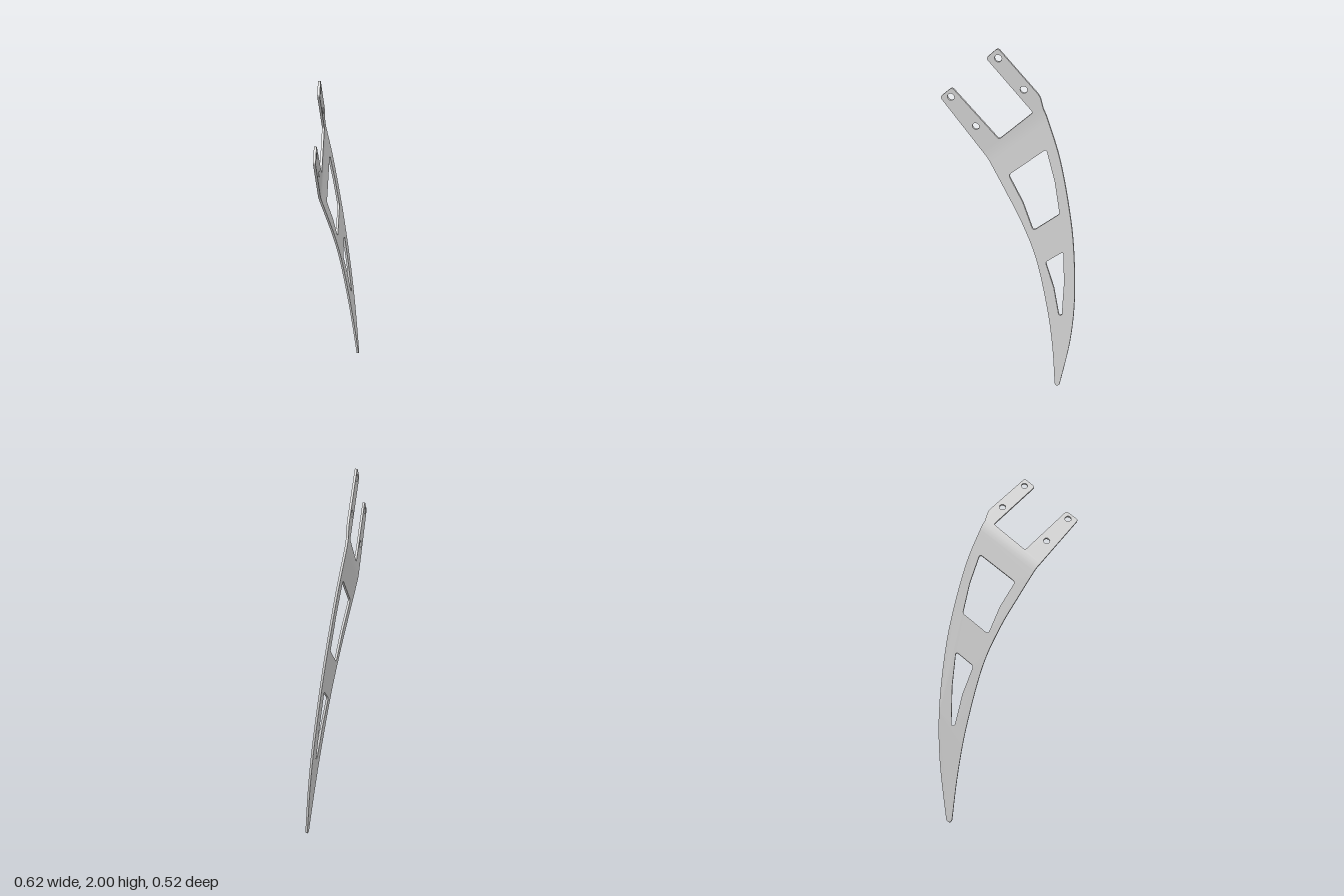
import * as THREE from 'three';
import { mergeGeometries, toCreasedNormals } from 'three/addons/utils/BufferGeometryUtils.js';

const THICKNESS = 0.012;
const BEND = 0.0063; // softness of the fold

// Lays a flat extrusion, drawn in x and y, onto two planes joined by a soft fold.
function plate(shape) {
  const geo = new THREE.ExtrudeGeometry(shape, { depth: 1, bevelEnabled: false, curveSegments: 6 });
  const pos = geo.attributes.position;
  const n = new THREE.Vector3();
  for (let i = 0; i < pos.count; i++) {
    const x = pos.getX(i), y = pos.getY(i);
    const forkZ = -0.111 - 1.19 * x;
    const s = 0.1327 - 0.982 * x - 0.1518 * y - forkZ;
    const k = THREE.MathUtils.clamp((s + BEND) / (2 * BEND), 0, 1);
    const z = forkZ + (k < 1 ? BEND * k * k : s);
    n.set(1.19 - 0.208 * k, 0.1518 * k, 1).normalize();
    n.multiplyScalar((pos.getZ(i) - 0.5) * THICKNESS);
    pos.setXYZ(i, x + n.x, y + n.y, z + n.z);
  }
  return geo;
}

// Closed polygon; each point is [x, y, corner radius].
function rounded(points, path) {
  const v = points.map(([x, y]) => new THREE.Vector2(x, y));
  const toward = (a, b, r) => a.clone().add(b.clone().sub(a).setLength(r));
  points.forEach(([x, y, r = 0], i) => {
    const prev = v[(i + v.length - 1) % v.length], next = v[(i + 1) % v.length];
    const a = r ? toward(v[i], prev, r) : v[i];
    if (i === 0) path.moveTo(a.x, a.y);
    else path.lineTo(a.x, a.y);
    if (r) {
      const b = toward(v[i], next, r);
      path.quadraticCurveTo(x, y, b.x, b.y);
    }
  });
  path.closePath();
  return path;
}

const vecs = (list) => list.map(([x, y]) => new THREE.Vector2(x, y));

// Ends of the fold strip on the two long edges
const L0 = [-0.165, 1.42], L1 = [-0.14, 1.373];
const R0 = [0.04, 1.7], R1 = [0.059, 1.645];

export function createModel() {
  const group = new THREE.Group();
  const material = new THREE.MeshStandardMaterial({ color: 0xcccccc });
  const add = (name, geo) => {
    const mesh = new THREE.Mesh(toCreasedNormals(geo, 0.5), material);
    mesh.name = name;
    group.add(mesh);
  };

  // Two-pronged mounting fork with four bolt holes
  const fork = rounded([
    L0, R0, [0.028, 1.77, 0.02], [-0.111, 2.004, 0.014], [-0.15, 1.948, 0.012],
    [0.006, 1.678, 0.012], [-0.11, 1.508, 0.012], [-0.268, 1.777, 0.014],
    [-0.311, 1.718, 0.012], [-0.236, 1.565],
  ], new THREE.Shape());
  for (const [x, y] of [[-0.11, 1.952], [-0.026, 1.798], [-0.273, 1.724], [-0.19, 1.571]]) {
    fork.holes.push(new THREE.Path().absellipse(x, y, 0.012, 0.019, 0, Math.PI * 2));
  }
  add('mountingFork', plate(fork));

  // Soft fold between fork and blade
  const mix = (a, b, t) => [a[0] + (b[0] - a[0]) * t, a[1] + (b[1] - a[1]) * t];
  const strips = [];
  for (let i = 0; i < 4; i++) {
    const t = i / 4, u = (i + 1) / 4;
    strips.push(plate(rounded([mix(L0, L1, t), mix(L0, L1, u), mix(R0, R1, u), mix(R0, R1, t)], new THREE.Shape())));
  }
  add('fold', mergeGeometries(strips));

  // Curved tapering blade with two windows
  const blade = new THREE.Shape();
  blade.moveTo(...L1);
  blade.splineThru(vecs([[-0.065, 1.225], [0.025, 1.04], [0.11, 0.82], [0.193, 0.5], [0.243, 0.25], [0.28, 0.012]]));
  blade.quadraticCurveTo(0.29, -0.012, 0.301, 0.012);
  blade.splineThru(vecs([[0.307, 0.33], [0.29, 0.62], [0.244, 0.95], [0.192, 1.2], [0.127, 1.45], R1]));
  blade.closePath();
  blade.holes.push(
    rounded([
      [0.072, 1.488, 0.018], [-0.058, 1.311, 0.016], [0.015, 1.165], [0.074, 1.006, 0.018],
      [0.166, 1.132, 0.012], [0.125, 1.315],
    ], new THREE.Path()),
    rounded([
      [0.208, 0.91, 0.018], [0.145, 0.825, 0.014], [0.198, 0.67], [0.239, 0.499, 0.008],
      [0.252, 0.499, 0.008], [0.235, 0.715],
    ], new THREE.Path()),
  );
  add('blade', plate(blade));

  return group;
}
